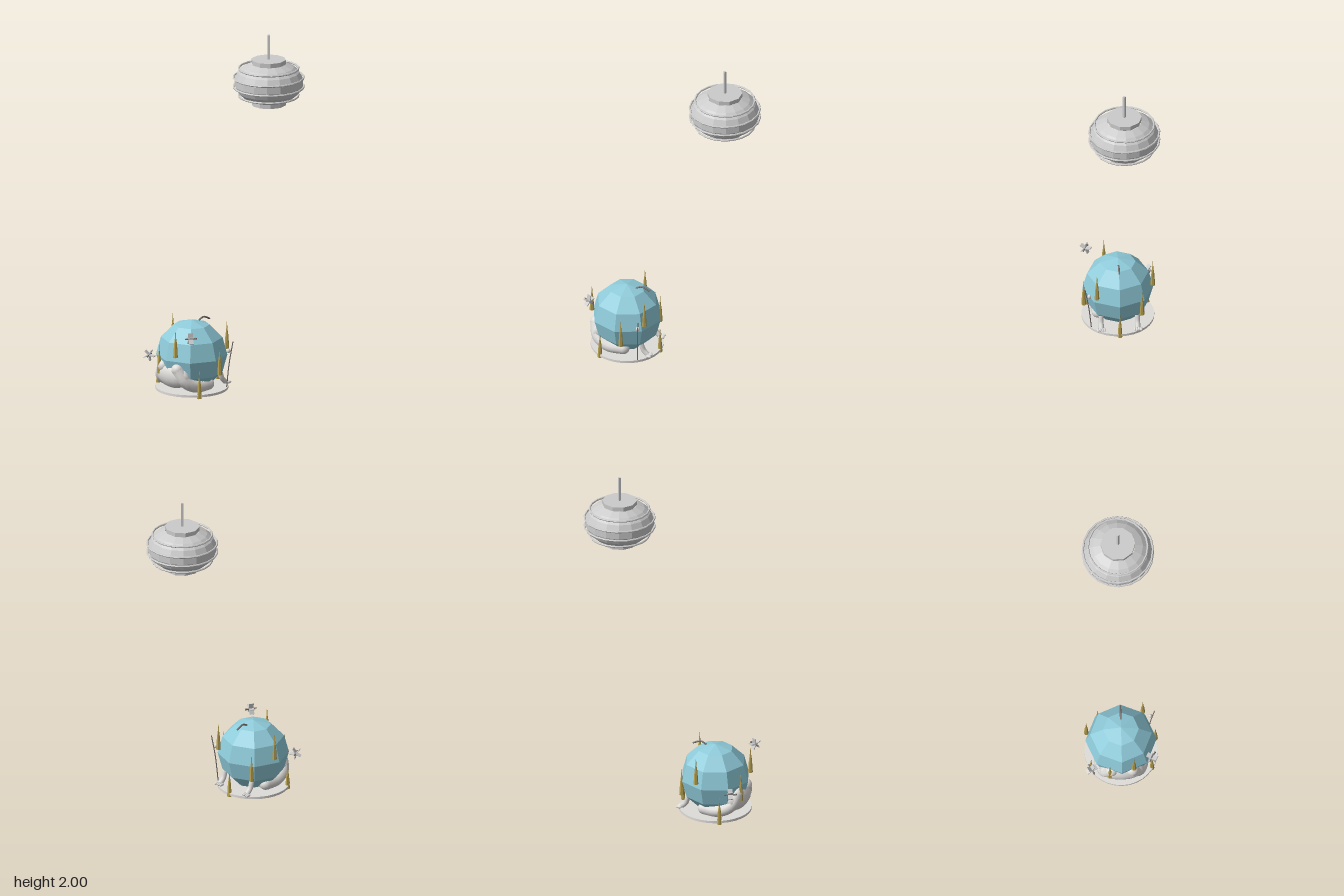
import * as THREE from 'three';

const mat = (name, color, extra = {}) => {
  const m = new THREE.MeshStandardMaterial({ color, ...extra });
  m.name = name;
  return m;
};

export function createModel() {
  const aqua = mat('aqua globe', 0x8fcbda, { flatShading: true });
  const gold = mat('gold spikes', 0xb59f50, { flatShading: true });
  const white = mat('off white', 0xdedcd9);
  const grey = mat('lamp grey', 0xcbcbcb, { flatShading: true });
  const dark = mat('dark grey', 0x77706e);

  const model = new THREE.Group();
  const V = (x, y, z) => new THREE.Vector3(x, y, z);
  const add = (parent, name, geo, material, x = 0, y = 0, z = 0) => {
    const m = new THREE.Mesh(geo, material);
    m.name = name;
    m.position.set(x, y, z);
    parent.add(m);
    return m;
  };
  const tube = (parent, name, pts, r, material, sides = 8) =>
    add(parent, name, new THREE.TubeGeometry(new THREE.CatmullRomCurve3(pts), 12, r, sides), material);
  const ball = (parent, name, p, s, material) => {
    const m = add(parent, name, new THREE.SphereGeometry(1, 14, 10), material, p.x, p.y, p.z);
    m.scale.set(...s);
    return m;
  };

  // Globe on its round plate; all positions are relative to the globe axis
  const globe = new THREE.Group();
  globe.name = 'globeOrnament';
  globe.position.x = -0.3;
  model.add(globe);
  add(globe, 'globe', new THREE.SphereGeometry(0.205, 8, 6), aqua, 0, 0.21, 0);
  add(globe, 'basePlate', new THREE.CylinderGeometry(0.21, 0.21, 0.014, 32), white, 0, 0.016, 0);

  // Nine slender spikes around the globe at three repeating heights
  const spikeShape = [[0, 0], [0.014, 0], [0.009, 0.08], [0.004, 0.115], [0, 0.17]]
    .map(([r, y]) => new THREE.Vector2(r, y));
  for (let i = 0; i < 9; i++) {
    const a = i * Math.PI * 2 / 9;
    add(globe, 'spike', new THREE.LatheGeometry(spikeShape, 6), gold,
      Math.cos(a) * 0.202, [0, 0.24, 0.12][i % 3], Math.sin(a) * 0.202);
  }

  // Rounded cradle hugging the rear underside
  ball(globe, 'cradleBack', V(-0.145, 0.115, 0), [0.06, 0.075, 0.13], white);
  for (const s of [1, -1]) {
    const path = [V(-0.165, 0.16, 0.06 * s), V(-0.14, 0.09, 0.1 * s), V(-0.07, 0.055, 0.12 * s), V(0.02, 0.052, 0.115 * s)];
    tube(globe, 'cradleArm', path, 0.037, white, 12);
    ball(globe, 'cradleTip', path[0], [0.037, 0.037, 0.037], white);
    ball(globe, 'cradleTip', path[3], [0.037, 0.035, 0.037], white);

    // Sloping foot with four toes
    const foot = new THREE.Group();
    foot.name = 'foot';
    globe.add(foot);
    tube(foot, 'ankle', [V(0.125, 0.1, 0.105 * s), V(0.14, 0.06, 0.105 * s), V(0.165, 0.035, 0.105 * s)], 0.015, white);
    for (let i = 0; i < 4; i++)
      ball(foot, 'toe', V(0.172 + 0.004 * (i % 2), 0.033, (0.088 + i * 0.012) * s), [0.018, 0.008, 0.007], white);
  }

  // Two vaned pinwheels flying round the rear
  for (const [y, s] of [[0.37, 1], [0.2, -1]]) {
    const wheel = new THREE.Group();
    wheel.name = 'pinwheel';
    wheel.position.set(-0.17, y, 0.175 * s);
    wheel.quaternion.setFromUnitVectors(V(0, 1, 0), V(0.88 * s, 0, 0.47).normalize());
    globe.add(wheel);
    add(wheel, 'axle', new THREE.CylinderGeometry(0.004, 0.004, 0.065, 8), dark);
    ball(wheel, 'knob', V(0, 0.032, 0), [0.006, 0.006, 0.006], dark);
    for (let i = 0; i < 5; i++) {
      const arm = new THREE.Group();
      arm.rotation.y = i * Math.PI * 2 / 5;
      wheel.add(arm);
      add(arm, 'vane', new THREE.BoxGeometry(0.034, 0.028, 0.005), grey, 0.017, 0, 0);
    }
  }

  // Bent twig on top, and a thin staff at the front
  tube(globe, 'topTwig', [V(0.055, 0.4, 0), V(0.09, 0.415, 0), V(0.14, 0.395, 0)], 0.005, dark);
  tube(globe, 'staff', [V(0.125, 0.02, 0.16), V(0.13, 0.16, 0.175), V(0.14, 0.3, 0.198)], 0.003, dark);
  ball(globe, 'staffGrip', V(0.13, 0.24, 0.172), [0.011, 0.014, 0.011], white);

  // Ribbed hanging lamp
  const lamp = new THREE.Group();
  lamp.name = 'hangingLamp';
  lamp.position.x = 0.3;
  model.add(lamp);
  const shade = [[0.1, 1.61], [0.145, 1.632], [0.178, 1.66], [0.198, 1.7], [0.198, 1.74], [0.178, 1.78], [0.145, 1.808], [0.1, 1.83]];
  add(lamp, 'shade', new THREE.LatheGeometry(shade.map(([r, y]) => new THREE.Vector2(r, y)), 16), grey);
  for (const [r, y] of [[0.172, 1.64], [0.202, 1.692], [0.202, 1.748], [0.172, 1.802]]) {
    const rib = add(lamp, 'rib', new THREE.TorusGeometry(r, 0.006, 6, 20), grey, 0, y, 0);
    rib.rotation.x = Math.PI / 2;
  }
  add(lamp, 'topCap', new THREE.CylinderGeometry(0.1, 0.1, 0.026, 10), grey, 0, 1.842, 0);
  // Open collar with a recessed floor
  const collar = [[0.1, 1.612], [0.09, 1.612], [0.09, 1.585], [0.1, 1.585], [0.1, 1.612]].map(([r, y]) => new THREE.Vector2(r, y));
  add(lamp, 'bottomCollar', new THREE.LatheGeometry(collar, 10), grey);
  add(lamp, 'collarFloor', new THREE.CylinderGeometry(0.1, 0.1, 0.006, 10), grey, 0, 1.612, 0);
  add(lamp, 'rod', new THREE.CylinderGeometry(0.009, 0.009, 0.15, 4), grey, 0, 1.925, 0);

  return model;
}
